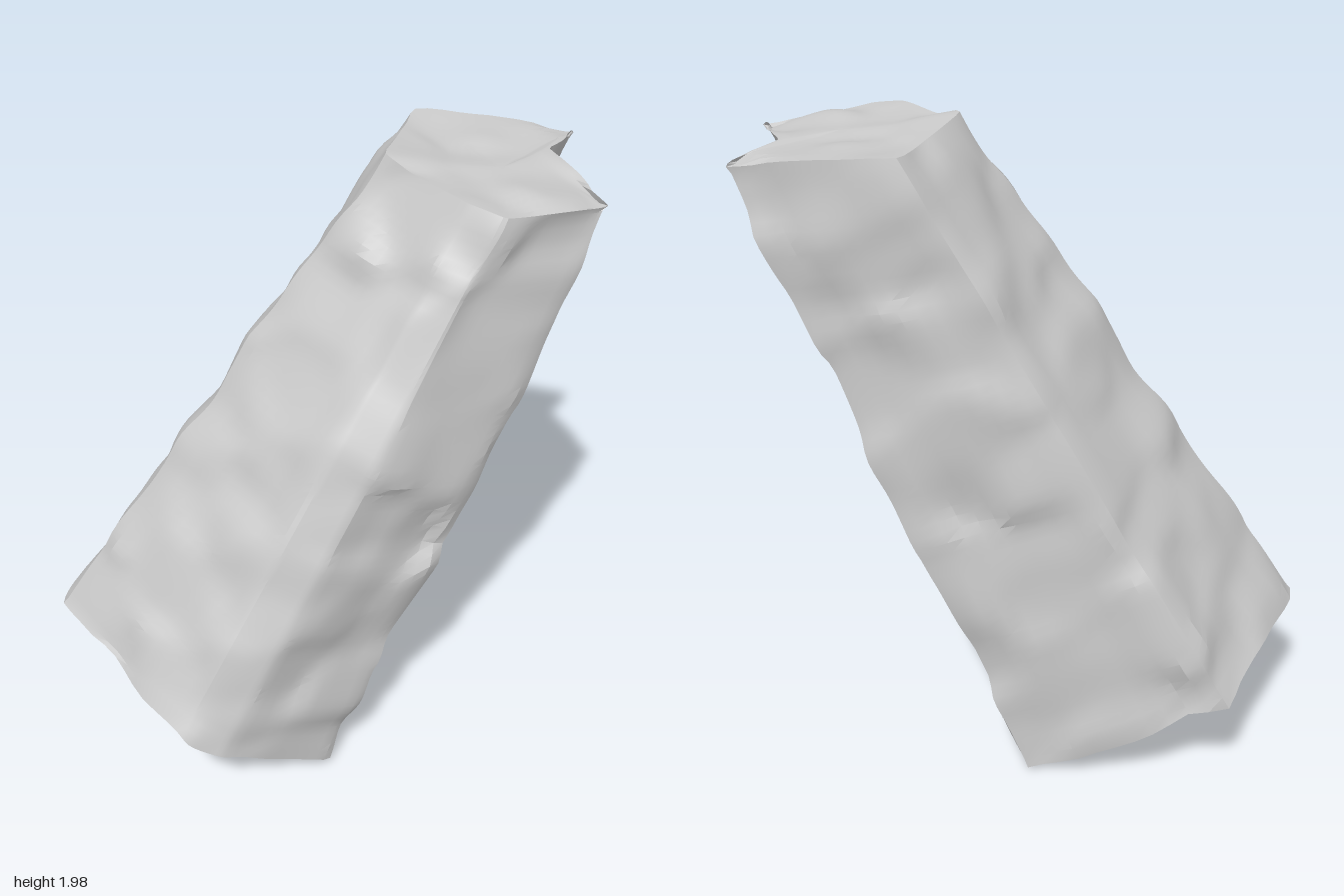
import * as THREE from 'three';
import { toCreasedNormals } from 'three/addons/utils/BufferGeometryUtils.js';

const V = (x, y, z) => new THREE.Vector3(x, y, z);

// Corners of the broken ends, counterclockwise seen from above: left ridge,
// blunt front ridge (two corners), right ridge, groove, back right, back left
const bottom = [V(-0.83, 0.45, 0.18), V(-0.32, 0.33, 0.575), V(-0.18, 0.24, 0.55), V(0.12, 0.03, 0.3),
  V(-0.1, 0.1, -0.13), V(-0.12, 0.01, -0.45), V(-0.74, 0.37, -0.4)];
const top = [V(0.17, 2, -0.12), V(0.43, 1.96, 0.07), V(0.54, 1.94, 0.1), V(0.83, 1.92, -0.1),
  V(0.61, 1.95, -0.37), V(0.69, 1.93, -0.58), V(0.19, 1.98, -0.53)];
const sides = bottom.length;

function seeded(seed) {
  return () => {
    seed = (seed * 1664525 + 1013904223) % 4294967296;
    return seed / 4294967296;
  };
}

// Chipped relief: small tilted planes around scattered cells, blended at their borders
function makeChips() {
  const rnd = seeded(17);
  const spread = (s) => (rnd() - 0.5) * s;
  const cells = Array.from({ length: 800 }, () => ({
    centre: V(spread(1.9), rnd() * 2.1, spread(1.4)),
    tilt: V(spread(0.3), spread(0.3), spread(0.3)),
    height: spread(0.03),
  }));
  const offset = V(0, 0, 0);
  return (p) => {
    let sum = 0, total = 1e-12;
    for (const c of cells) {
      offset.subVectors(p, c.centre);
      const weight = Math.exp(-offset.lengthSq() / 0.007);
      sum += weight * (c.height + c.tilt.dot(offset));
      total += weight;
    }
    return THREE.MathUtils.clamp(sum / total, -0.025, 0.025);
  };
}

function rockGeometry() {
  const perEdge = 11, rows = 60, capRings = 10;
  const cols = perEdge * sides;
  const positions = [], index = [];

  // One closed outline, at height fraction t and shrunk towards its middle for the ends
  const addRing = (t, shrink) => {
    const corners = bottom.map((p, i) => p.clone().lerp(top[i], t));
    const swell = 0.025 * Math.sin(Math.PI * t);
    corners[1].z += swell;
    corners[2].z += swell;
    const middle = V(0, 0, 0);
    corners.forEach((p) => middle.addScaledVector(p, 1 / sides));
    const outline = Array.from({ length: cols }, (_, i) => {
      const e = Math.floor(i / perEdge);
      return corners[e].clone().lerp(corners[(e + 1) % sides], (i % perEdge) / perEdge);
    });
    outline.forEach((p, i) => {
      // Averaging the neighbours blunts the long edges
      const neighbours = outline[(i + 1) % cols].clone().add(outline[(i + cols - 1) % cols]).multiplyScalar(0.5);
      neighbours.lerp(p, 0.6).lerp(middle, 1 - shrink);
      positions.push(neighbours.x, neighbours.y, neighbours.z);
    });
  };
  for (let k = 0; k < capRings; k++) addRing(0, Math.max(k / capRings, 0.002));
  for (let j = 0; j <= rows; j++) addRing(j / rows, 1);
  for (let k = capRings - 1; k >= 0; k--) addRing(1, Math.max(k / capRings, 0.002));

  const ringCount = positions.length / 3 / cols;
  for (let j = 0; j < ringCount - 1; j++) {
    for (let i = 0; i < cols; i++) {
      const a = j * cols + i, b = j * cols + (i + 1) % cols;
      index.push(a, b, b + cols, a, b + cols, a + cols);
    }
  }
  const geo = new THREE.BufferGeometry();
  geo.setAttribute('position', new THREE.Float32BufferAttribute(positions, 3));
  geo.setIndex(index);
  geo.computeVertexNormals();

  // Push the surface in and out along its normals
  const pos = geo.attributes.position, nor = geo.attributes.normal;
  const relief = makeChips();
  const p = V(0, 0, 0), n = V(0, 0, 0);
  for (let i = 0; i < pos.count; i++) {
    p.fromBufferAttribute(pos, i);
    n.fromBufferAttribute(nor, i);
    p.addScaledVector(n, relief(p));
    pos.setXYZ(i, p.x, p.y, p.z);
  }

  // Rest it on the ground
  geo.computeBoundingBox();
  geo.translate(0, -geo.boundingBox.min.y, 0);
  geo.deleteAttribute('normal');
  return toCreasedNormals(geo, 0.35);
}

export function createModel() {
  const group = new THREE.Group();
  group.name = 'leaningRock';
  const rock = new THREE.Mesh(rockGeometry(), new THREE.MeshStandardMaterial({ color: 0xcccccc }));
  rock.name = 'rockPillar';
  group.add(rock);
  return group;
}
